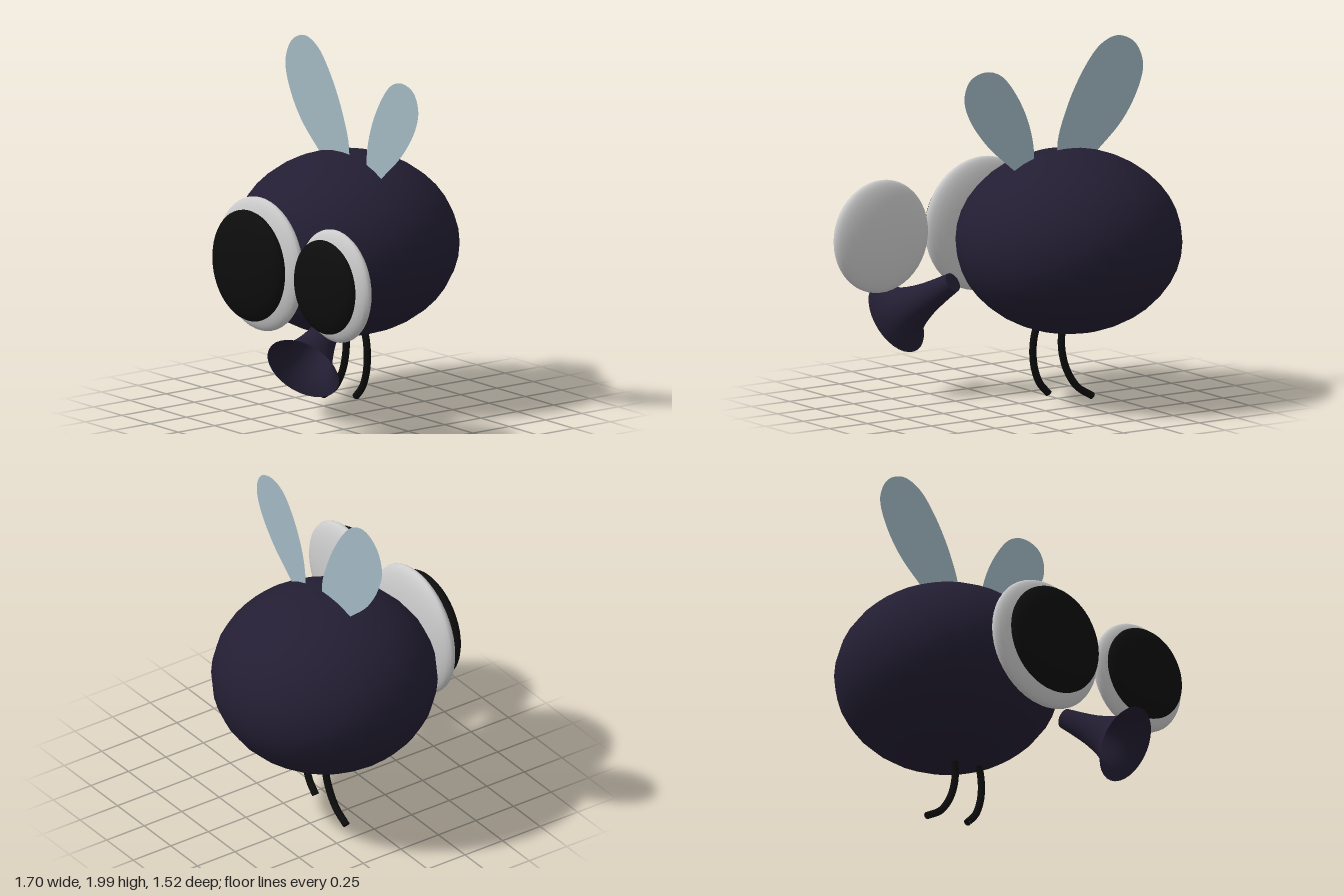
import * as THREE from 'three';

const mat = (color, side = THREE.FrontSide) => new THREE.MeshStandardMaterial({ color, side });
const V = (x, y, z) => new THREE.Vector3(x, y, z);

export function createModel() {
  const group = new THREE.Group();
  const skin = mat(0x231e33);
  const skinOpen = mat(0x231e33, THREE.DoubleSide);
  const white = mat(0xcccccc);
  const black = mat(0x0d0d0d);
  const wingMat = mat(0xa3bac4, THREE.DoubleSide);

  const add = (name, geometry, material) => {
    const mesh = new THREE.Mesh(geometry, material);
    mesh.name = name;
    group.add(mesh);
    return mesh;
  };
  const ellipsoid = (name, material, center, radii, w = 32, h = 24) => {
    const mesh = add(name, new THREE.SphereGeometry(1, w, h), material);
    mesh.position.set(...center);
    mesh.scale.set(...radii);
  };

  // Round body
  ellipsoid('body', skin, [-0.23, 0.905, -0.14], [0.62, 0.505, 0.615], 28, 20);

  // Flattened eyes, each a pale disc with a dark lens in front
  ellipsoid('rightEye', white, [-0.118, 0.903, 0.537], [0.37, 0.37, 0.08]);
  ellipsoid('rightLens', black, [-0.115, 0.905, 0.62], [0.307, 0.307, 0.078]);
  ellipsoid('leftEye', white, [0.545, 0.903, 0.537], [0.307, 0.312, 0.073]);
  ellipsoid('leftLens', black, [0.54, 0.905, 0.607], [0.26, 0.26, 0.065]);

  // Trumpet-shaped snout: thin wall flaring from a small closed end
  const base = V(0.24, 0.655, 0.29);
  const mouth = V(0.38, 0.425, 0.63);
  const axis = mouth.clone().sub(base);
  const L = axis.length();
  const flare = new THREE.SplineCurve([
    [0.055, 0], [0.07, 0.25], [0.09, 0.5], [0.125, 0.75], [0.165, 0.9], [0.214, 1],
  ].map(([r, t]) => new THREE.Vector2(r, t * L))).getPoints(20);
  const snout = add('snout', new THREE.LatheGeometry(flare, 32), skinOpen);
  snout.position.copy(base);
  snout.quaternion.setFromUnitVectors(V(0, 1, 0), axis.clone().normalize());
  const cap = new THREE.Mesh(new THREE.CircleGeometry(0.055, 32), skinOpen);
  cap.name = 'snoutEnd';
  cap.rotation.x = Math.PI / 2;
  snout.add(cap);

  // Curved legs with closed ends
  const z = -0.115;
  const legs = {
    rightLeg: [[-0.215, 0.46], [-0.2, 0.39], [-0.2, 0.3], [-0.23, 0.19], [-0.3, 0.085], [-0.4, 0.022]],
    leftLeg: [[-0.04, 0.46], [-0.018, 0.39], [-0.01, 0.3], [-0.022, 0.21], [-0.055, 0.13], [-0.112, 0.068]],
  };
  for (const [name, pts] of Object.entries(legs)) {
    const curve = new THREE.CatmullRomCurve3(pts.map(([x, y]) => V(x, y, z)));
    add(name, new THREE.TubeGeometry(curve, 24, 0.02, 12), black);
    const foot = add(name + 'End', new THREE.CircleGeometry(0.02, 12), black);
    foot.position.copy(curve.getPoint(1));
    foot.quaternion.setFromUnitVectors(V(0, 0, 1), curve.getTangent(1));
  }

  // Flat leaf-shaped wings, rooted inside the body
  const wings = {
    rightWing: [[-0.24, 1.22], [-0.17, 1.41], [-0.235, 1.64], [-0.36, 1.86], [-0.46, 1.965], [-0.57, 2.0],
      [-0.68, 1.95], [-0.735, 1.83], [-0.705, 1.7], [-0.6, 1.53], [-0.43, 1.375]],
    leftWing: [[0.0, 1.22], [-0.018, 1.4], [0.015, 1.57], [0.1, 1.745], [0.2, 1.86], [0.3, 1.89],
      [0.4, 1.855], [0.44, 1.76], [0.41, 1.645], [0.29, 1.48], [0.12, 1.33]],
  };
  for (const [name, pts] of Object.entries(wings)) {
    const outline = new THREE.CatmullRomCurve3(pts.map(([x, y]) => V(x, y, 0)), true);
    const shape = new THREE.Shape(outline.getPoints(66).slice(0, -1).map((p) => new THREE.Vector2(p.x, p.y)));
    add(name, new THREE.ShapeGeometry(shape), wingMat).position.z = z;
  }

  return group;
}
